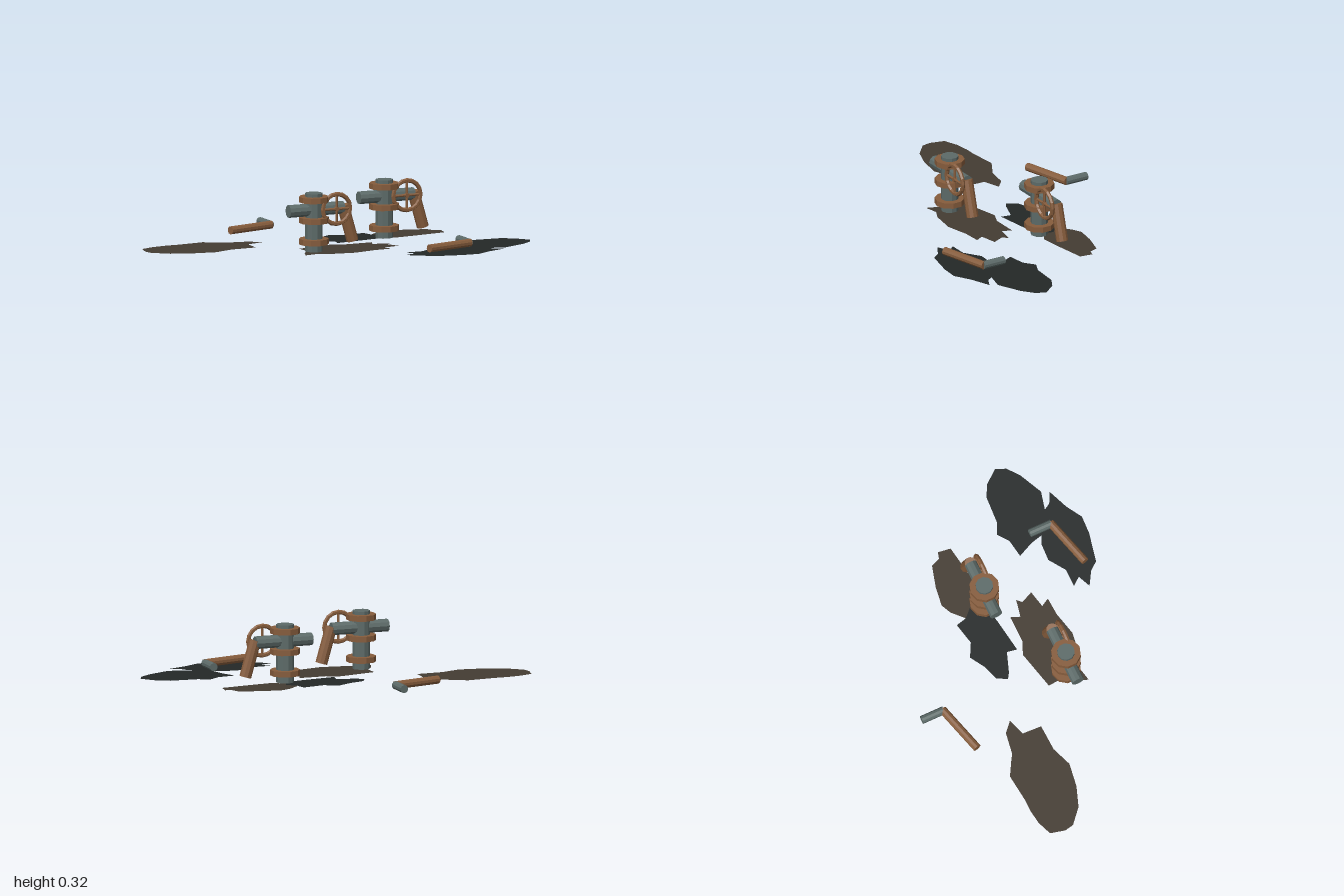
import * as THREE from 'three';

const mat = (color, side = THREE.FrontSide) =>
  new THREE.MeshStandardMaterial({ color, flatShading: true, side });
const steel = mat(0x5c6a68);
const rust = mat(0x865c3c);
const mud = mat(0x443c32, THREE.DoubleSide);
const oil = mat(0x232827, THREE.DoubleSide);

function add(parent, name, geometry, material) {
  const mesh = new THREE.Mesh(geometry, material);
  mesh.name = name;
  parent.add(mesh);
  return mesh;
}

// Ten-sided pipe between two points
function pipe(parent, name, a, b, radius, material) {
  const from = new THREE.Vector3(...a), to = new THREE.Vector3(...b);
  const dir = to.clone().sub(from);
  const mesh = add(parent, name, new THREE.CylinderGeometry(radius, radius, dir.length(), 10), material);
  mesh.position.copy(from).add(to).multiplyScalar(0.5);
  mesh.quaternion.setFromUnitVectors(new THREE.Vector3(0, 1, 0), dir.normalize());
  return mesh;
}

// Upright pipe with collars, cross pipe, drooping spout and handwheel
function valveStand(x, z) {
  const stand = new THREE.Group();
  stand.name = 'valveStand';
  stand.position.set(x, 0, z);
  pipe(stand, 'post', [0, 0.005, 0], [0, 0.317, 0], 0.047, steel);
  for (const y of [0.058, 0.173, 0.284])
    pipe(stand, 'collar', [0, y - 0.015, 0], [0, y + 0.015, 0], 0.08, rust);
  pipe(stand, 'crossPipe', [-0.15, 0.228, 0], [0.17, 0.228, 0], 0.034, steel);
  pipe(stand, 'spout', [0.17, 0.24, 0], [0.226, 0.047, 0], 0.032, rust);

  const wheel = new THREE.Group();
  wheel.name = 'handwheel';
  wheel.position.set(0.114, 0.229, 0.04);
  add(wheel, 'rim', new THREE.TorusGeometry(0.08, 0.012, 6, 16), rust);
  pipe(wheel, 'spoke', [-0.08, 0, 0], [0.08, 0, 0], 0.007, rust);
  pipe(wheel, 'spoke', [0, -0.08, 0], [0, 0.08, 0], 0.007, rust);
  pipe(wheel, 'hub', [0, 0, -0.02], [0, 0, 0.01], 0.012, rust);
  stand.add(wheel);
  return stand;
}

// Loose bent pipe lying on the ground, positioned by its elbow
function bentPipe(x, z) {
  const bent = new THREE.Group();
  bent.name = 'bentPipe';
  bent.position.set(x, 0.036, z);
  pipe(bent, 'longArm', [-0.268, 0, 0.074], [0.006, 0, 0], 0.022, rust);
  pipe(bent, 'shortArm', [0, 0, 0.004], [0, 0, -0.125], 0.022, steel);
  return bent;
}

// Flat ragged ground stain from an outline of x, z pairs
function stain(parent, name, y, material, outline) {
  const points = [];
  for (let i = 0; i < outline.length; i += 2)
    points.push(new THREE.Vector2(outline[i], -outline[i + 1]));
  const geometry = new THREE.ShapeGeometry(new THREE.Shape(points)).rotateX(-Math.PI / 2);
  add(parent, name, geometry, material).position.y = y;
}

export function createModel() {
  const model = new THREE.Group();
  model.name = 'brokenPipes';

  model.add(valveStand(-0.194, 0.175), valveStand(0.328, -0.056));
  model.add(bentPipe(-0.124, -0.512), bentPipe(0.583, 0.454));

  // Mud patches
  stain(model, 'leftMud', 0.002, mud, [
    -1, -0.21, -0.98, -0.29, -0.9, -0.32, -0.82, -0.33, -0.75, -0.33, -0.6, -0.345, -0.53, -0.305,
    -0.49, -0.28, -0.37, -0.26, -0.315, -0.21, -0.41, -0.18, -0.415, -0.075, -0.56, -0.07,
    -0.67, -0.03, -0.8, -0.05, -0.91, -0.09, -0.99, -0.16]);
  stain(model, 'centreMud', 0.002, mud, [
    -0.225, 0.06, -0.01, 0.01, 0.06, 0.04, 0.21, 0.04, 0.19, 0.09, 0.285, 0.11, 0.26, 0.135,
    0.29, 0.2, 0.195, 0.22, 0.22, 0.265, 0.12, 0.27, -0.01, 0.3, -0.15, 0.28, -0.21, 0.25,
    -0.285, 0.265, -0.26, 0.2, -0.22, 0.14]);
  stain(model, 'rightMud', 0.002, mud, [
    0.3, -0.17, 0.37, -0.235, 0.425, -0.26, 0.53, -0.245, 0.65, -0.21, 0.67, -0.16, 0.705, -0.15,
    0.695, -0.08, 0.53, -0.055, 0.4, -0.04, 0.32, -0.09]);

  // Oil puddles
  stain(model, 'centreOil', 0.004, oil, [
    -0.1, -0.12, -0.07, -0.175, 0.01, -0.2, 0.095, -0.25, 0.17, -0.21, 0.29, -0.235, 0.305, -0.175,
    0.35, -0.13, 0.32, -0.05, 0.21, -0.03, 0.03, -0.005, 0.04, -0.06, -0.07, -0.1]);
  stain(model, 'rightOil', 0.002, oil, [
    0.5, 0.235, 0.6, 0.22, 0.66, 0.175, 0.725, 0.205, 0.875, 0.215, 0.94, 0.25, 1, 0.325,
    0.975, 0.38, 0.91, 0.43, 0.78, 0.49, 0.68, 0.465, 0.56, 0.4, 0.54, 0.32]);
  stain(model, 'frontOil', 0.004, oil, [
    0.225, 0.42, 0.325, 0.42, 0.415, 0.36, 0.51, 0.365, 0.59, 0.4, 0.68, 0.465, 0.7, 0.5,
    0.76, 0.53, 0.645, 0.575, 0.56, 0.625, 0.46, 0.62, 0.3, 0.585, 0.265, 0.54, 0.19, 0.495,
    0.26, 0.465]);
  return model;
}
